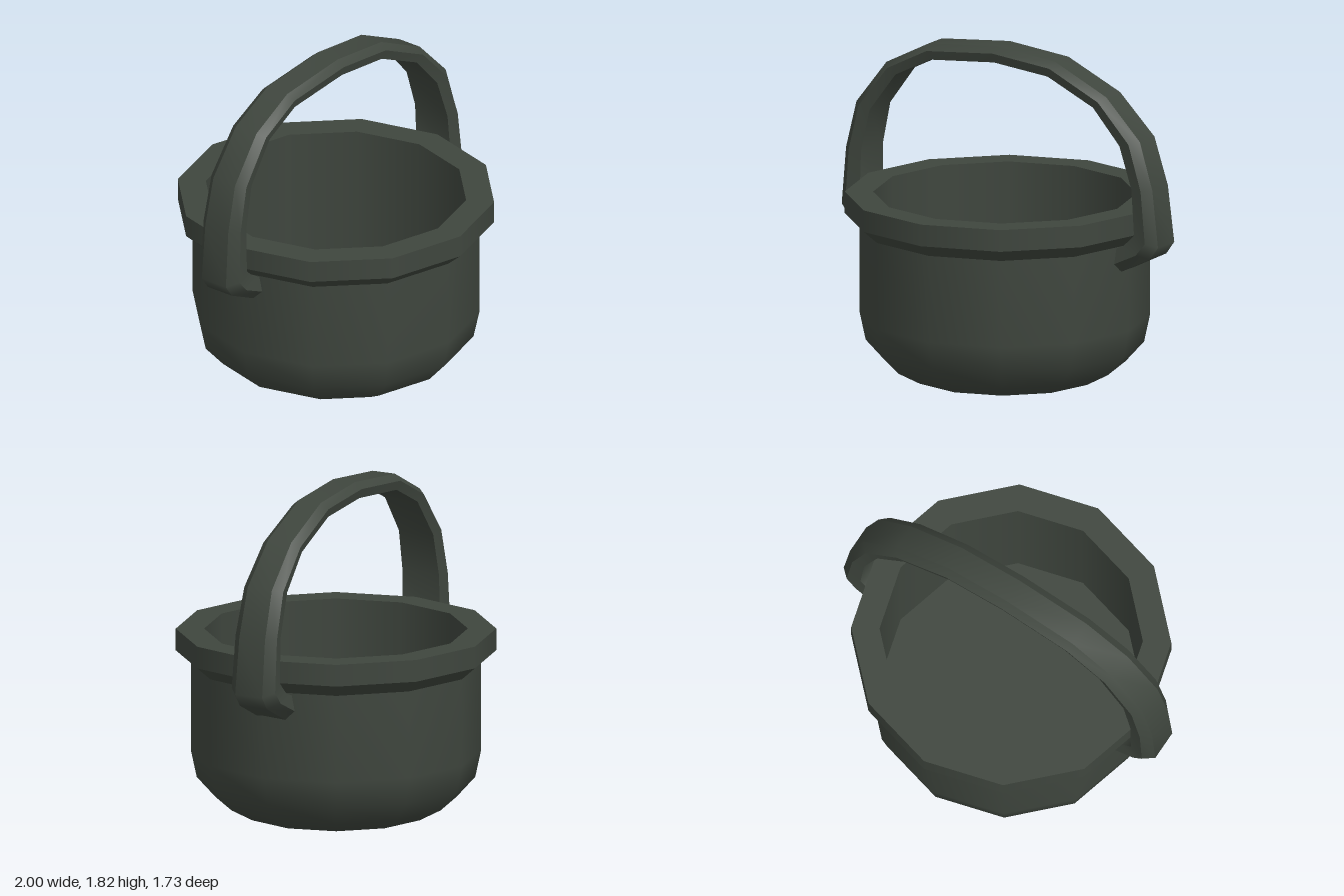
import * as THREE from 'three';

const iron = new THREE.MeshStandardMaterial({ color: 0x3f463e });
iron.name = 'dark iron';

// Twelve-sided ring of revolution, smooth within one profile piece
function turned(name, profile) {
  const points = profile.map(([r, y]) => new THREE.Vector2(r, y));
  const mesh = new THREE.Mesh(new THREE.LatheGeometry(points, 12), iron);
  mesh.name = name;
  return mesh;
}

// Handle stations from left to right: outer x, y and inner x, y
const stations = [
  [-0.72, 0.645, -0.72, 0.79], [-0.95, 0.755, -0.80, 0.82], [-1.0, 0.825, -0.865, 0.88],
  [-0.975, 1.14, -0.86, 1.14], [-0.912, 1.40, -0.81, 1.37], [-0.725, 1.64, -0.65, 1.585],
  [-0.46, 1.775, -0.43, 1.695], [-0.03, 1.815, -0.03, 1.73], [0.34, 1.775, 0.31, 1.695],
  [0.665, 1.62, 0.6, 1.56], [0.88, 1.40, 0.77, 1.37], [0.962, 1.14, 0.85, 1.14],
  [1.0, 0.83, 0.87, 0.89], [0.95, 0.76, 0.80, 0.82], [0.72, 0.645, 0.72, 0.79],
];

// Six-sided cross-section: flat outside, chamfers, sides and inner face
function section([ox, oy, ix, iy]) {
  const width = 0.135 - 0.025 * THREE.MathUtils.clamp((oy - 0.9) / 0.9, 0, 1);
  const at = (t, z) => [ox + (ix - ox) * t, oy + (iy - oy) * t, z * width - 0.032];
  return [at(0, 0.62), at(0, -0.62), at(0.4, -1), at(1, -0.88), at(1, 0.88), at(0.4, 1)];
}

// Each strip has its own vertices: sharp across, smooth along the handle
function handleGeometry() {
  const rings = stations.map(section);
  const position = [];
  const index = [];
  for (let j = 0; j < 6; j++) {
    const base = position.length / 3;
    rings.forEach((ring, i) => {
      position.push(...ring[j], ...ring[(j + 1) % 6]);
      if (i === rings.length - 1) return;
      const a = base + i * 2;
      index.push(a, a + 2, a + 3, a, a + 3, a + 1);
    });
  }
  const geometry = new THREE.BufferGeometry();
  geometry.setAttribute('position', new THREE.Float32BufferAttribute(position, 3));
  geometry.setIndex(index);
  geometry.computeVertexNormals();
  return geometry;
}

export function createModel() {
  const model = new THREE.Group();
  model.name = 'cauldron';

  // Pot shell and flared rim
  model.add(turned('potBody', [[0, 0], [0.52, 0], [0.65, 0.07], [0.75, 0.18], [0.782, 0.33], [0.782, 0.81]]));
  model.add(turned('rimUnderside', [[0.782, 0.81], [0.863, 0.88]]));
  model.add(turned('rimSide', [[0.863, 0.88], [0.863, 1.0]]));
  model.add(turned('rimTop', [[0.863, 1.0], [0.71, 1.0]]));

  // Hollow inside
  model.add(turned('innerWall', [[0.71, 1.0], [0.71, 0.18]]));
  model.add(turned('innerFloor', [[0.71, 0.18], [0, 0.18]]));

  // Carrying handle
  const handle = new THREE.Mesh(handleGeometry(), iron);
  handle.name = 'handle';
  model.add(handle);

  return model;
}
